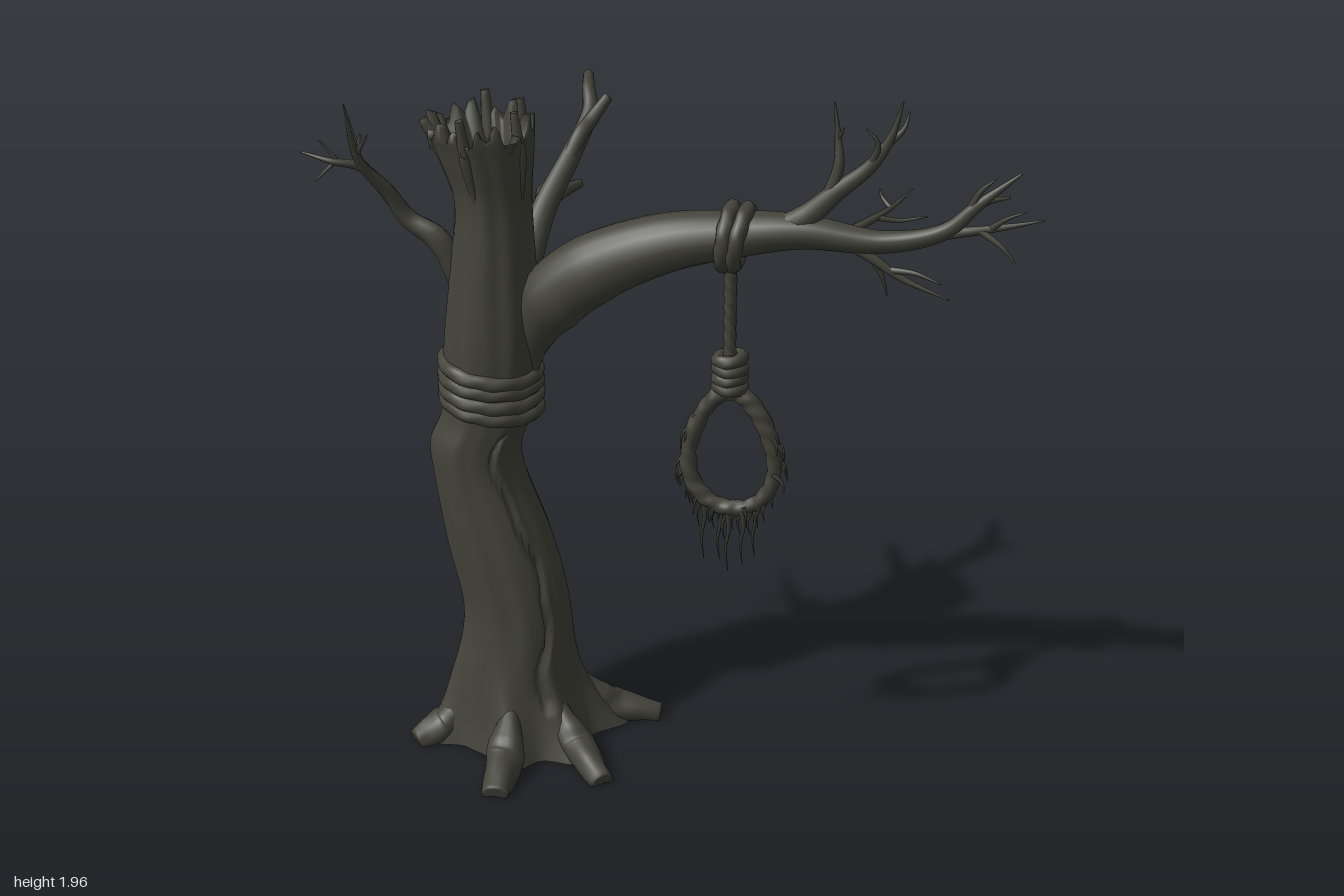
import * as THREE from 'three';

const bark = new THREE.MeshStandardMaterial({ color: 0x43433a });
bark.name = 'dark bark';

let seed = 7;
const rand = () => (seed = (seed * 16807) % 2147483647) / 2147483647;

// Skin a grid of rings; each ring has n points and closes on itself
function skin(rings, n, flip, closed) {
  const pos = rings.flat(), idx = [], m = rings.length;
  for (let i = 0; i < (closed ? m : m - 1); i++) {
    for (let j = 0; j < n; j++) {
      const a = i * n + j, b = i * n + (j + 1) % n;
      const c = ((i + 1) % m) * n + j, d = ((i + 1) % m) * n + (j + 1) % n;
      if (flip) idx.push(a, c, b, b, c, d);
      else idx.push(a, b, c, b, d, c);
    }
  }
  const g = new THREE.BufferGeometry();
  g.setAttribute('position', new THREE.Float32BufferAttribute(pos, 3));
  g.setIndex(idx);
  g.computeVertexNormals();
  return g;
}

// Tapered tube through [x, y, z, radius] points
function limb(pts, { n = 10, steps = pts.length * 6, twist = 0, closed = false, blunt = false, ground = false, rough = 0 } = {}) {
  const curve = new THREE.CatmullRomCurve3(pts.map(p => new THREE.Vector3(p[0], p[1], p[2])), closed, 'centripetal');
  const f = curve.computeFrenetFrames(steps, closed);
  const rings = [];
  const ring = (t, i, scale) => {
    const u = t * (closed ? pts.length : pts.length - 1), k = Math.floor(u);
    const r0 = pts[k % pts.length][3], r1 = pts[closed ? (k + 1) % pts.length : Math.min(k + 1, pts.length - 1)][3];
    const r = THREE.MathUtils.lerp(r0, r1, u - k) * scale, p = curve.getPoint(t), out = [];
    for (let j = 0; j < n; j++) {
      const a = j / n * Math.PI * 2;
      const q = r * (1 + (twist ? 0.06 * Math.sin(2 * a + t * twist) : 0) + rough * Math.sin(3 * a + 9 * t));
      const v = p.clone().addScaledVector(f.normals[i], q * Math.cos(a)).addScaledVector(f.binormals[i], q * Math.sin(a));
      out.push(v.x, ground ? Math.max(0, v.y) : v.y, v.z);
    }
    return out;
  };
  // Frames are spaced by arc length, so find the matching curve parameter
  for (let i = 0; i < (closed ? steps : steps + 1); i++) rings.push(ring(curve.getUtoTmapping(i / steps), i, 1));
  if (!closed) {
    if (blunt) rings.push(ring(1, steps, 0.75));
    rings.push(ring(1, steps, 0.001));
  }
  return skin(rings, n, false, closed);
}

// Root directions around the trunk, with the strength of each buttress
const buttresses = [[1.48, 0.5], [0.69, 0.45], [-0.4, 0.55], [-1.54, 0.45], [-2.31, 0.58], [2.62, 0.58]];

// Bent hollow trunk with buttresses, bark ridges, a crack and a splintered top
function trunkGeometry() {
  // y, centre x, centre z, radius x, radius z
  const profile = [
    [0, -0.42, 0.08, 0.2, 0.18], [0.08, -0.425, 0.08, 0.18, 0.165], [0.2, -0.435, 0.08, 0.163, 0.152],
    [0.4, -0.43, 0.073, 0.15, 0.146], [0.6, -0.475, 0.068, 0.148, 0.143], [0.8, -0.53, 0.065, 0.126, 0.132],
    [0.9, -0.54, 0.065, 0.125, 0.127], [1.0, -0.505, 0.06, 0.125, 0.122], [1.2, -0.49, 0.06, 0.13, 0.122],
    [1.4, -0.483, 0.055, 0.117, 0.115], [1.6, -0.48, 0.05, 0.104, 0.108], [1.72, -0.495, 0.05, 0.125, 0.123],
    [1.8, -0.51, 0.05, 0.143, 0.138],
  ];
  const n = 96, rings = [], jag = [];
  for (let j = 0; j < n; j++) jag.push(0.025 * Math.sin(j * 0.98) + 0.025 * Math.sin(j * 0.41 + 1) + 0.02 * (rand() - 0.5));
  const at = t => {
    const u = t * (profile.length - 1), k = Math.min(Math.floor(u), profile.length - 2);
    const pt = i => profile[Math.max(0, Math.min(i, profile.length - 1))];
    const w = u - k;
    return profile[0].map((_, c) => {
      const [a, b, d, e] = [pt(k - 1)[c], pt(k)[c], pt(k + 1)[c], pt(k + 2)[c]];
      return b + 0.5 * w * (d - a + w * (2 * a - 5 * b + 4 * d - e + w * (3 * (b - d) + e - a)));
    });
  };
  const ring = ([y, cx, cz, rx, rz], k, lift) => {
    const out = [], flare = Math.max(0, 1 - y / 0.42) ** 2;
    for (let j = 0; j < n; j++) {
      const a = j / n * Math.PI * 2;
      const crackAt = 0.75 + 0.12 * Math.sin(y * 9) + 0.05 * Math.sin(y * 31);
      const crack = y > 0.15 && y < 0.95 ? 0.14 * Math.exp(-(((a - crackAt) / 0.05) ** 2)) : 0;
      const ridge = 0.02 * Math.sin(7 * a + 2 * y) + 0.01 * Math.sin(13 * a - 3 * y);
      let swell = 0;
      for (const [dir, size] of buttresses) {
        const d = Math.atan2(Math.sin(a - dir), Math.cos(a - dir));
        swell += size * flare * Math.exp(-((d / 0.25) ** 2));
      }
      const s = k * (1 + ridge - crack + swell);
      out.push(cx + rx * s * Math.cos(a), y + lift * jag[j], cz + rz * s * Math.sin(a));
    }
    return out;
  };
  // Flat rim under the trunk, doubled at its edge to keep it sharp
  rings.push(ring(profile[0], 0.5, 0), ring(profile[0], 1, 0));
  for (let i = 0; i <= 72; i++) rings.push(ring(at(i / 72), 1, i === 72 ? 1 : 0));
  const top = profile[profile.length - 1];
  rings.push(ring(top, 0.84, 0.9));
  rings.push(ring([1.7, -0.488, 0.055, 0.09, 0.09], 1, 0));
  return skin(rings, n, true, false);
}

export function createModel() {
  const model = new THREE.Group();
  const add = (name, geo, parent = model) => {
    const m = new THREE.Mesh(geo, bark);
    m.name = name;
    parent.add(m);
    return m;
  };
  const group = name => {
    const g = new THREE.Group();
    g.name = name;
    model.add(g);
    return g;
  };

  add('trunk', trunkGeometry());

  // Roots run out of the buttresses: middle and end on the ground
  const roots = group('roots');
  const root = (mx, mz, ex, ez, w) => add('root', limb([
    [mx * 0.6 - 0.168, 0.15, mz * 0.6 + 0.032, 0.02], [mx * 0.85 - 0.063, 0.075, mz * 0.85 + 0.012, w * 0.9],
    [mx, 0.04, mz, w], [(mx + ex) / 2, 0.022, (mz + ez) / 2, w * 0.85], [ex, 0.006, ez, w * 0.68]],
  { n: 14, blunt: true, ground: true, rough: 0.06 }), roots);
  root(-0.4, 0.33, -0.385, 0.475, 0.055);
  root(-0.22, 0.21, -0.115, 0.335, 0.048);
  root(-0.19, -0.04, -0.055, -0.075, 0.05);
  root(-0.41, -0.15, -0.41, -0.26, 0.05);
  root(-0.61, -0.09, -0.685, -0.215, 0.052);
  root(-0.62, 0.18, -0.69, 0.24, 0.052);

  // Long bough with its forks
  const bough = group('bough');
  const tw = (...pts) => add('branch', limb(pts, { n: 8 }), bough);
  add('mainBough', limb([[-0.385, 1.08, 0.06, 0.015], [-0.378, 1.19, 0.06, 0.045], [-0.32, 1.325, 0.06, 0.095], [-0.2, 1.43, 0.06, 0.096], [0, 1.522, 0.06, 0.08],
    [0.18, 1.56, 0.053, 0.064], [0.36, 1.585, 0.05, 0.047], [0.58, 1.575, 0.045, 0.03], [0.74, 1.62, 0.045, 0.022],
    [0.82, 1.695, 0.04, 0.016], [0.93, 1.79, 0.035, 0.003]], { n: 20, rough: 0.03 }), bough);
  tw([0.68, 1.6, 0.045, 0.018], [0.79, 1.62, 0.04, 0.014], [0.89, 1.635, 0.02, 0.009], [0.99, 1.655, 0, 0.002]);
  tw([0.83, 1.625, 0.035, 0.01], [0.89, 1.59, 0.05, 0.007], [0.93, 1.55, 0.06, 0.002]);
  tw([0.86, 1.635, 0.03, 0.009], [0.9, 1.67, 0.05, 0.006], [0.95, 1.7, 0.07, 0.002]);
  tw([0.78, 1.66, 0.04, 0.013], [0.84, 1.7, 0.02, 0.01], [0.9, 1.71, 0, 0.003]);
  tw([0.8, 1.68, 0.04, 0.012], [0.83, 1.74, 0.05, 0.007], [0.87, 1.78, 0.06, 0.002]);
  tw([0.28, 1.575, 0.05, 0.035], [0.37, 1.625, 0.05, 0.034], [0.45, 1.7, 0.045, 0.025], [0.54, 1.78, 0.04, 0.018], [0.59, 1.86, 0.04, 0.011], [0.62, 1.96, 0.04, 0.002]);
  tw([0.43, 1.68, 0.045, 0.02], [0.455, 1.77, 0.04, 0.015], [0.45, 1.85, 0.03, 0.009], [0.44, 1.94, 0.03, 0.002]);
  tw([0.45, 1.84, 0.03, 0.008], [0.47, 1.88, 0.05, 0.002]);
  tw([0.54, 1.78, 0.04, 0.012], [0.56, 1.85, 0.06, 0.007], [0.53, 1.89, 0.07, 0.002]);
  tw([0.57, 1.83, 0.04, 0.012], [0.62, 1.88, 0.02, 0.006], [0.63, 1.92, 0, 0.002]);
  tw([0.48, 1.57, 0.045, 0.02], [0.55, 1.53, 0.05, 0.015], [0.63, 1.48, 0.05, 0.01], [0.76, 1.43, 0.05, 0.002]);
  tw([0.6, 1.5, 0.05, 0.01], [0.67, 1.5, 0.06, 0.007], [0.74, 1.48, 0.07, 0.002]);
  tw([0.55, 1.53, 0.05, 0.011], [0.58, 1.47, 0.04, 0.006], [0.59, 1.42, 0.03, 0.002]);
  tw([0.47, 1.58, 0.03, 0.013], [0.53, 1.6, -0.04, 0.011], [0.57, 1.61, -0.12, 0.007], [0.61, 1.63, -0.22, 0.002]);
  tw([0.54, 1.6, -0.06, 0.009], [0.6, 1.59, -0.08, 0.006], [0.67, 1.6, -0.1, 0.002]);
  tw([0.57, 1.61, -0.11, 0.007], [0.54, 1.63, -0.14, 0.005], [0.53, 1.64, -0.17, 0.002]);

  // Side branch on the right of the trunk
  const side = group('sideBranch');
  const sb = (...pts) => add('branch', limb(pts, { n: 8 }), side);
  sb([-0.575, 1.28, 0.07, 0.015], [-0.585, 1.4, 0.075, 0.034], [-0.63, 1.485, 0.08, 0.034], [-0.71, 1.535, 0.08, 0.026], [-0.755, 1.62, 0.11, 0.021], [-0.81, 1.72, 0.17, 0.013], [-0.82, 1.9, 0.24, 0.002]);
  sb([-0.75, 1.61, 0.1, 0.018], [-0.82, 1.69, 0.13, 0.014], [-0.89, 1.71, 0.16, 0.009], [-0.98, 1.73, 0.16, 0.002]);
  sb([-0.64, 1.5, 0.08, 0.022], [-0.72, 1.54, 0.07, 0.019], [-0.82, 1.64, 0.05, 0.014], [-0.87, 1.67, 0.01, 0.01], [-0.9, 1.7, -0.09, 0.002]);
  sb([-0.87, 1.7, 0.15, 0.009], [-0.92, 1.77, 0.17, 0.002]);
  sb([-0.88, 1.71, 0.15, 0.008], [-0.93, 1.66, 0.19, 0.002]);
  sb([-0.81, 1.75, 0.18, 0.01], [-0.77, 1.81, 0.21, 0.002]);
  sb([-0.81, 1.75, 0.18, 0.01], [-0.84, 1.84, 0.16, 0.002]);

  // Forked branches at the back
  const back = group('backBranch');
  const bb = (...pts) => add('branch', limb(pts, { n: 10, blunt: true }), back);
  bb([-0.44, 1.26, -0.03, 0.015], [-0.42, 1.38, -0.055, 0.042], [-0.4, 1.5, -0.15, 0.036], [-0.35, 1.63, -0.27, 0.029], [-0.325, 1.72, -0.37, 0.023], [-0.345, 1.77, -0.43, 0.018], [-0.36, 1.79, -0.485, 0.014]);
  bb([-0.36, 1.6, -0.24, 0.022], [-0.33, 1.68, -0.29, 0.022], [-0.31, 1.71, -0.33, 0.02], [-0.27, 1.77, -0.365, 0.014]);
  bb([-0.41, 1.45, -0.1, 0.028], [-0.42, 1.5, -0.22, 0.025], [-0.45, 1.49, -0.32, 0.02], [-0.47, 1.47, -0.43, 0.013]);
  bb([-0.42, 1.49, -0.2, 0.02], [-0.38, 1.515, -0.27, 0.019], [-0.35, 1.515, -0.345, 0.013]);

  // Splinters grown out of the trunk rim: angle, reach, top, width
  const splinters = group('splinters');
  for (const [a, reach, h, w] of [[0.4, 0.115, 1.865, 0.019], [1.7, 0.135, 1.86, 0.02], [3.0, 0.155, 1.82, 0.024], [4.5, 0.135, 1.86, 0.021], [5.5, 0.12, 1.86, 0.018]]) {
    const c = Math.cos(a), s = Math.sin(a);
    add('splinter', limb([[-0.48 + 0.095 * c, 1.6, 0.05 + 0.095 * s, 0.008], [-0.497 + 0.118 * c, 1.74, 0.05 + 0.118 * s, w],
      [-0.508 + reach * c, h, 0.05 + reach * s, w * 0.6]], { n: 8, blunt: true }), splinters);
  }

  // Closed ring of twisted rope in the local horizontal plane
  const coil = (R, r, turns) => {
    const pts = [];
    for (let i = 0; i < 16; i++) pts.push([R * Math.cos(i * Math.PI / 8), 0, R * Math.sin(i * Math.PI / 8), r]);
    return limb(pts, { n: 10, steps: 72, twist: Math.PI * 2 * turns, closed: true });
  };
  const trunkRope = group('trunkRope');
  for (let i = 0; i < 4; i++) {
    const m = add('coil', coil(0.127, 0.021, 10), trunkRope);
    m.position.set(-0.496, 1.015 + i * 0.036, 0.057);
    m.rotation.set(0.03 * (i % 2), 0, -0.14 + 0.03 * (i % 3));
  }

  // Hanging rope: wraps on the bough, straight drop, knot and loop
  const rope = group('hangingRope');
  [[0.167, -0.1], [0.2, -0.2]].forEach(([x, tilt]) => {
    const m = add('boughWrap', coil(0.071, 0.022, 8), rope);
    m.position.set(x, 1.555, 0.052);
    m.rotation.z = Math.PI / 2 + tilt;
    m.scale.x = 1.08;
  });
  add('drop', limb([[0.175, 1.5, 0.053, 0.018], [0.174, 1.35, 0.053, 0.017], [0.174, 1.18, 0.053, 0.017]], { steps: 50, twist: 50 }), rope);
  for (let i = 0; i < 4; i++) {
    const m = add('knotCoil', coil(0.033, 0.018, 4), rope);
    m.position.set(0.174, 1.125 + i * 0.027, 0.053);
    m.rotation.z = 0.1 * (i % 2 ? 1 : -1);
  }
  const loopAt = a => {
    const s = Math.sin(a), c = Math.cos(a);
    return new THREE.Vector3(0.18 + 0.117 * s * (1 - 0.24 * c), 0.935 + 0.175 * c, 0.053);
  };
  const loopPts = [];
  for (let i = 0; i < 20; i++) {
    const p = loopAt(i * Math.PI / 10);
    loopPts.push([p.x, p.y, p.z, 0.02 + 0.006 * rand()]);
  }
  add('loop', limb(loopPts, { n: 12, steps: 120, twist: Math.PI * 36, closed: true }), rope);

  // Frayed fibres along the loop and strands hanging below it
  for (let i = 0; i < 36; i++) {
    const a = 0.9 + rand() * 4.5, p = loopAt(a), o = Math.sin(a) * (0.025 + 0.015 * rand());
    const z = p.z + (rand() - 0.5) * 0.04;
    add('fray', limb([[p.x, p.y + 0.01, z, 0.008], [p.x + o * 0.8, p.y - 0.012, z, 0.005],
      [p.x + o, p.y - 0.035 - 0.02 * rand(), z + (rand() - 0.5) * 0.02, 0.001]], { n: 5, steps: 5 }), rope);
  }
  for (let i = 0; i < 14; i++) {
    const x = 0.088 + i * 0.014, y = loopAt(Math.PI - Math.asin((x - 0.18) / 0.15)).y;
    const len = [0.09, 0.16, 0.05, 0.06, 0.17][i % 5] * (0.8 + 0.3 * rand()), z = 0.053 + (rand() - 0.5) * 0.03;
    add('strand', limb([[x, y, z, 0.01], [x + 0.004, y - len * 0.4, z, 0.006], [x - 0.004, y - len * 0.7, z, 0.004],
      [x + 0.003, y - len - 0.02, z, 0.001]], { n: 5, steps: 8 }), rope);
  }
  return model;
}
